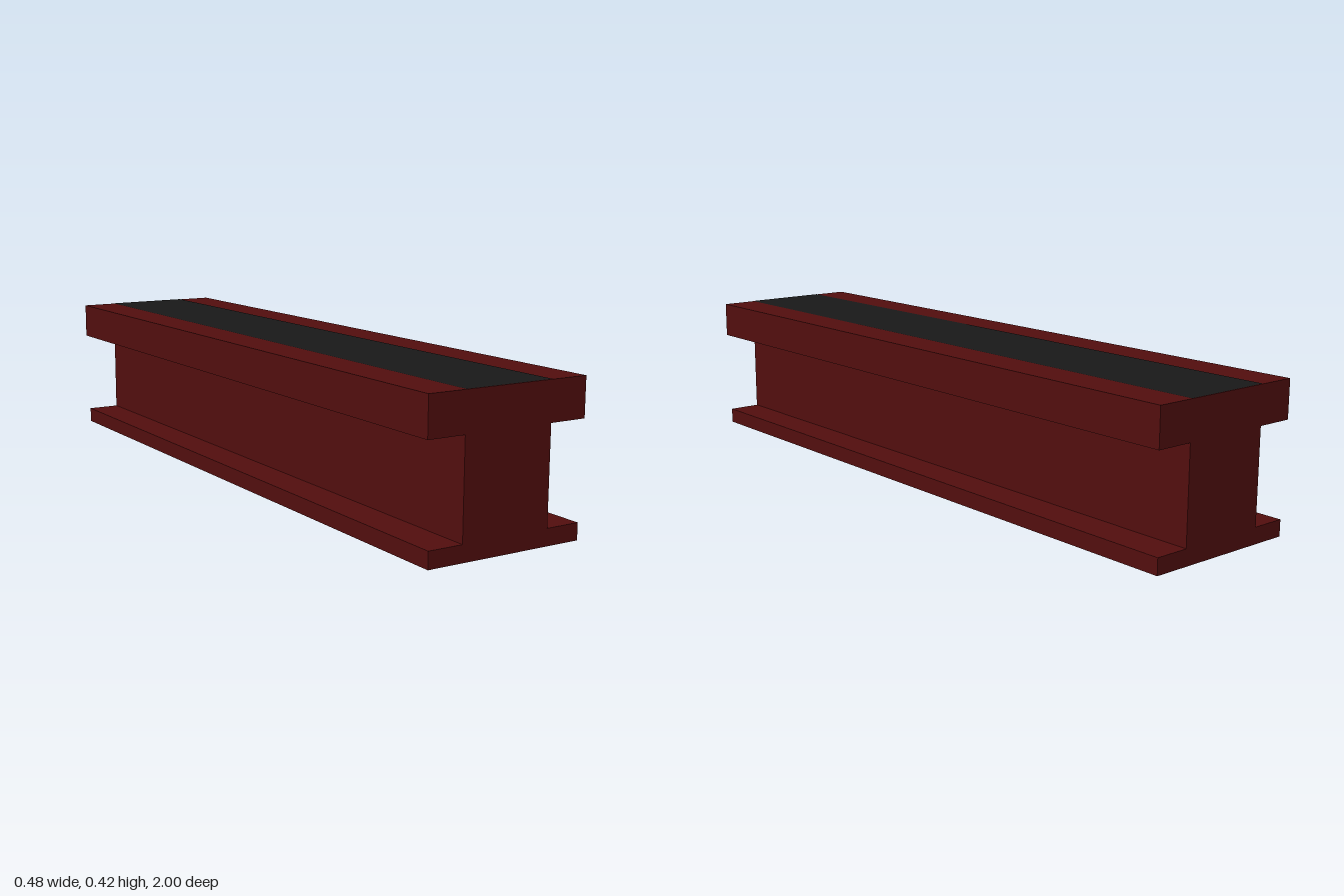
import * as THREE from 'three';

const LENGTH = 2;
const TOP = 0.416;

// Right half of the beam's cross-section, bottom to top: [x, y]
const HALF_PROFILE = [
  [0.231, 0], [0.231, 0.046], [0.131, 0.046],
  [0.131, 0.309], [0.239, 0.309], [0.239, TOP],
];

export function createModel() {
  const model = new THREE.Group();
  model.name = 'beam';

  // I-shaped body: mirrored profile extruded along z
  const mirrored = HALF_PROFILE.map(([x, y]) => [-x, y]).reverse();
  const shape = new THREE.Shape(
    [...HALF_PROFILE, ...mirrored].map(([x, y]) => new THREE.Vector2(x, y))
  );
  const bodyGeometry = new THREE.ExtrudeGeometry(shape, { depth: LENGTH, bevelEnabled: false });
  bodyGeometry.translate(0, 0, -LENGTH / 2);
  const body = new THREE.Mesh(
    bodyGeometry,
    new THREE.MeshStandardMaterial({ color: 0x520e0e, flatShading: true })
  );
  body.name = 'beamBody';
  model.add(body);

  // Dark strip running along the top, a hair above the surface
  const stripGeometry = new THREE.PlaneGeometry(0.262, LENGTH);
  stripGeometry.rotateX(-Math.PI / 2);
  const strip = new THREE.Mesh(
    stripGeometry,
    new THREE.MeshStandardMaterial({ color: 0x181818, flatShading: true })
  );
  strip.name = 'topStrip';
  strip.position.y = TOP + 0.0008;
  model.add(strip);

  return model;
}
